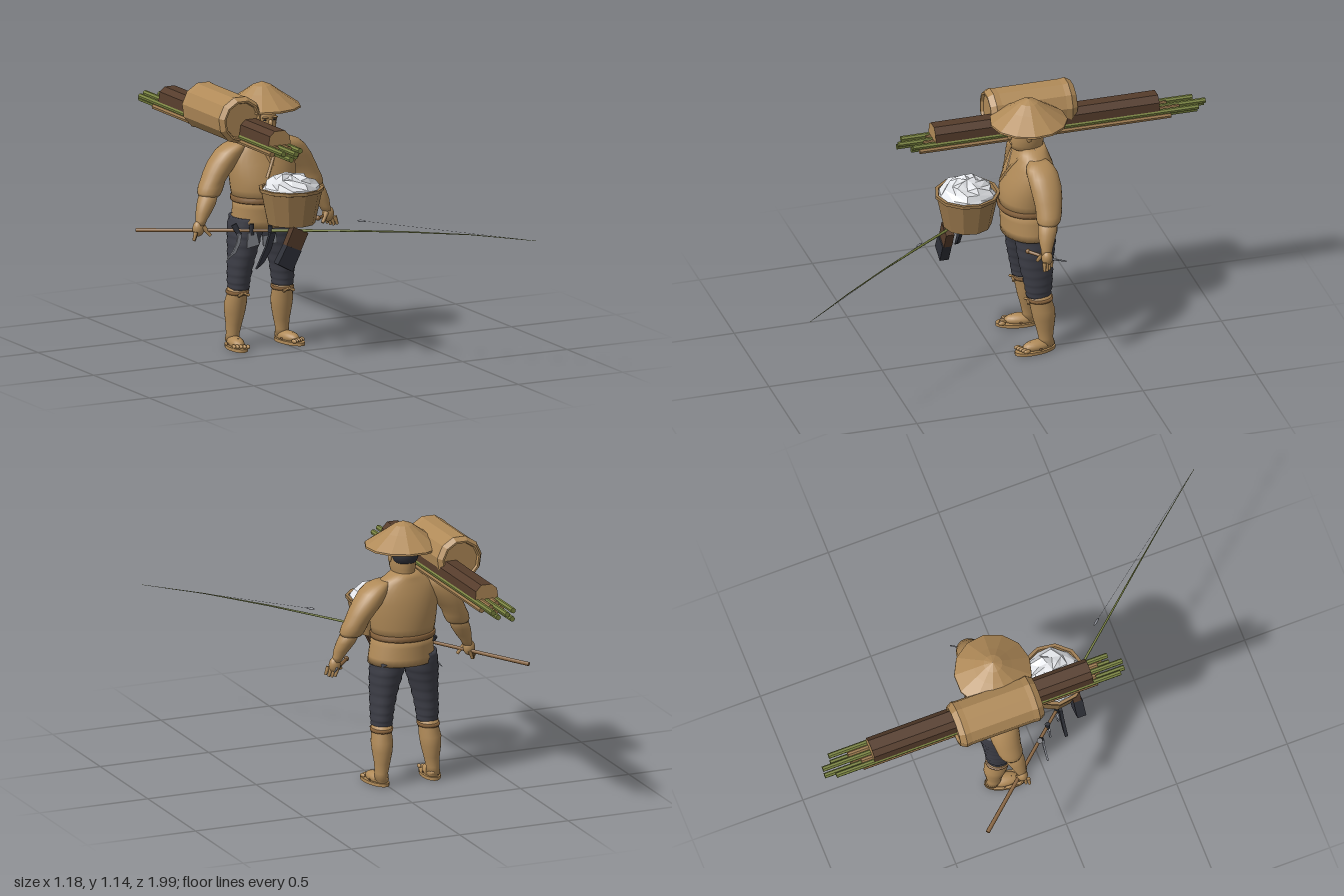
import * as THREE from 'three';

const mat = (name, color, side = THREE.FrontSide) => {
  const m = new THREE.MeshStandardMaterial({ color, side });
  m.name = name;
  return m;
};
const V = (x, y, z) => new THREE.Vector3(x, y, z);
const CX = -0.1; // body centre line

export function createModel() {
  const root = new THREE.Group();
  const tan = mat('tan', 0xb08a58);
  const wicker = mat('wicker', 0x9c7a4e);
  const wood = mat('wood', 0x86623c);
  const bark = mat('bark', 0x553c2b);
  const navy = mat('navy', 0x3c3d46);
  const dark = mat('dark', 0x2d2f37);
  const steel = mat('steel', 0x8b8e96);
  const white = mat('white', 0xe2e4e8);
  const green = mat('green', 0x7a8440);

  const add = (name, geo, material, parent = root) => {
    const m = new THREE.Mesh(geo, material);
    m.name = name;
    parent.add(m);
    return m;
  };
  const group = (name) => {
    const g = new THREE.Group();
    g.name = name;
    root.add(g);
    return g;
  };
  // faceted normals
  const flat = (geo) => {
    const g = geo.index ? geo.toNonIndexed() : geo;
    g.computeVertexNormals();
    return g;
  };
  const lathe = (pts, sides) => flat(new THREE.LatheGeometry(pts.map((p) => new THREE.Vector2(p[0], p[1])), sides));

  // smooth skin over horizontal rings [x, y, z, rx, rz], lowest first
  const loft = (rings, n = 24) => {
    const first = rings[0], last = rings[rings.length - 1];
    const all = [[first[0], first[1], first[2], 0.0005, 0.0005], ...rings, [last[0], last[1], last[2], 0.0005, 0.0005]];
    const pos = [], idx = [];
    all.forEach(([x, y, z, rx, rz], i) => {
      for (let j = 0; j < n; j++) {
        const a = (j / n) * Math.PI * 2;
        pos.push(x + rx * Math.cos(a), y, z + rz * Math.sin(a));
        if (i === all.length - 1) continue;
        const p = i * n + j, q = i * n + ((j + 1) % n);
        idx.push(p, p + n, q, q, p + n, q + n);
      }
    });
    const g = new THREE.BufferGeometry();
    g.setAttribute('position', new THREE.Float32BufferAttribute(pos, 3));
    g.setIndex(idx);
    g.computeVertexNormals();
    return g;
  };
  // tapered bar between two points
  const bar = (a, b, ra, rb, sides = 8) => {
    const d = b.clone().sub(a);
    const g = new THREE.CylinderGeometry(rb, ra, d.length(), sides);
    g.applyQuaternion(new THREE.Quaternion().setFromUnitVectors(V(0, 1, 0), d.normalize()));
    const c = a.clone().add(b).multiplyScalar(0.5);
    return g.translate(c.x, c.y, c.z);
  };
  const ball = (x, y, z, rx, ry, rz) => new THREE.SphereGeometry(1, 18, 12).scale(rx, ry, rz).translate(x, y, z);
  // flat plate from an outline in x, y
  const plate = (pts, z, depth = 0.008) => flat(new THREE.ExtrudeGeometry(
    new THREE.Shape(pts.map((p) => new THREE.Vector2(p[0], p[1]))), { depth, bevelEnabled: false }).translate(0, 0, z - depth / 2));

  // jacket
  const jacket = group('jacket');
  add('skirt', loft([[-0.09, 0.53, -0.176, 0.146, 0.12], [-0.092, 0.56, -0.176, 0.144, 0.119],
    [-0.095, 0.61, -0.172, 0.137, 0.117], [-0.1, 0.65, -0.17, 0.134, 0.118]], 32), tan, jacket);
  add('torso', loft([[CX, 0.645, -0.17, 0.133, 0.118], [CX, 0.69, -0.172, 0.142, 0.119],
    [CX, 0.74, -0.174, 0.148, 0.118], [CX, 0.8, -0.183, 0.152, 0.104], [CX, 0.85, -0.187, 0.145, 0.088],
    [CX, 0.885, -0.187, 0.125, 0.074], [CX, 0.905, -0.187, 0.085, 0.067], [CX, 0.925, -0.187, 0.057, 0.06]], 32), tan, jacket);
  add('belt', loft([[CX, 0.636, -0.171, 0.137, 0.121], [CX, 0.642, -0.171, 0.142, 0.126],
    [CX, 0.656, -0.171, 0.142, 0.126], [CX, 0.662, -0.171, 0.137, 0.121]], 32), wood, jacket);
  const collar = (pts) => new THREE.TubeGeometry(new THREE.CatmullRomCurve3(pts), 20, 0.007, 6);
  add('collarRight', collar([V(-0.155, 0.92, -0.19), V(-0.148, 0.895, -0.133), V(-0.12, 0.84, -0.1), V(-0.1, 0.79, -0.08)]), tan, jacket);
  add('collarLeft', collar([V(-0.045, 0.92, -0.19), V(-0.052, 0.895, -0.133), V(-0.09, 0.83, -0.094), V(-0.135, 0.75, -0.063)]), tan, jacket);

  // head
  const head = group('head');
  add('face', loft([[CX, 0.88, -0.19, 0.046, 0.055], [CX, 0.91, -0.182, 0.044, 0.06], [CX, 0.918, -0.172, 0.046, 0.068],
    [CX, 0.94, -0.17, 0.052, 0.073], [CX, 0.97, -0.172, 0.054, 0.073], [CX, 0.99, -0.173, 0.053, 0.07],
    [CX, 1.005, -0.172, 0.053, 0.075], [CX, 1.04, -0.175, 0.049, 0.066], [CX, 1.065, -0.178, 0.03, 0.04]]), tan, head);
  add('nose', ball(CX, 0.975, -0.098, 0.01, 0.018, 0.013), tan, head);
  add('mouth', ball(CX, 0.945, -0.1, 0.016, 0.005, 0.006), tan, head);
  add('hair', ball(CX, 1.003, -0.198, 0.058, 0.055, 0.058), dark, head);
  add('topKnot', ball(CX, 1.035, -0.22, 0.02, 0.02, 0.025), dark, head);
  for (const s of [-1, 1]) {
    add('ear', ball(CX + s * 0.056, 0.98, -0.165, 0.007, 0.018, 0.011), tan, head);
    add('brow', ball(CX + s * 0.022, 1.0, -0.104, 0.016, 0.005, 0.007), tan, head);
    add('eye', ball(CX + s * 0.022, 0.989, -0.109, 0.008, 0.003, 0.004), dark, head);
  }

  // straw hat, hollow underneath
  add('strawHat', lathe([[0.001, 1.125], [0.04, 1.112], [0.158, 1.033], [0.166, 1.034], [0.165, 1.042], [0.082, 1.098],
    [0.04, 1.128], [0.001, 1.143]], 13).translate(CX, 0, -0.178), tan);

  // arms and legs, mirrored about the centre line
  for (const s of [-1, 1]) {
    const X = (d) => CX + s * d;
    const arm = group(s > 0 ? 'leftArm' : 'rightArm');
    add('sleeve', loft([[X(0.246), 0.672, -0.19, 0.046, 0.046], [X(0.243), 0.685, -0.192, 0.052, 0.052],
      [X(0.234), 0.71, -0.196, 0.055, 0.055], [X(0.225), 0.73, -0.198, 0.053, 0.056], [X(0.205), 0.765, -0.2, 0.058, 0.062],
      [X(0.175), 0.81, -0.2, 0.065, 0.067], [X(0.145), 0.855, -0.195, 0.062, 0.067], [X(0.125), 0.88, -0.19, 0.05, 0.058],
      [X(0.105), 0.895, -0.19, 0.03, 0.04]]), tan, arm);
    add('forearm', loft([[X(0.303), 0.555, -0.165, 0.021, 0.023], [X(0.295), 0.575, -0.168, 0.024, 0.025],
      [X(0.282), 0.605, -0.172, 0.034, 0.033], [X(0.265), 0.64, -0.18, 0.041, 0.04], [X(0.245), 0.69, -0.19, 0.041, 0.042]]), tan, arm);
    add('palm', ball(X(0.31), 0.54, -0.165, 0.026, 0.034, 0.024), tan, arm);
    for (let i = 0; i < 4; i++) {
      const z = -0.185 + i * 0.013, k = X(0.305 + i * 0.009);
      add('finger', bar(V(k, 0.53, z), V(k + s * 0.012, 0.487 + Math.abs(i - 1.5) * 0.005, z + 0.002), 0.009, 0.006), tan, arm);
    }
    add('thumb', bar(V(X(0.295), 0.55, -0.15), V(X(0.268), 0.51, -0.135), 0.011, 0.007), tan, arm);

    const leg = group(s > 0 ? 'leftLeg' : 'rightLeg');
    const wrinkled = [[0.105, 0.255, -0.19, 0.043, 0.053], [0.105, 0.29, -0.19, 0.047, 0.059], [0.101, 0.34, -0.187, 0.051, 0.065],
      [0.094, 0.4, -0.183, 0.057, 0.074], [0.085, 0.46, -0.183, 0.067, 0.082], [0.077, 0.51, -0.185, 0.074, 0.088],
      [0.072, 0.57, -0.18, 0.073, 0.09]];
    const rings = [];
    for (let i = 0; i <= 24; i++) {
      const t = (i / 24) * 6, k = Math.min(5, Math.floor(t)), w = 0.002 * Math.sin(i * 2.1);
      const r = wrinkled[k].map((v, c) => THREE.MathUtils.lerp(v, wrinkled[k + 1][c], t - k));
      rings.push([X(r[0]), r[1], r[2], r[3] + w, r[4] + w]);
    }
    add('trouserLeg', loft(rings), navy, leg);
    add('shin', loft([[X(0.119), 0.025, -0.222, 0.029, 0.036], [X(0.118), 0.055, -0.218, 0.028, 0.031],
      [X(0.114), 0.1, -0.216, 0.034, 0.039], [X(0.112), 0.15, -0.212, 0.043, 0.049], [X(0.111), 0.19, -0.207, 0.047, 0.052],
      [X(0.108), 0.23, -0.197, 0.042, 0.05], [X(0.106), 0.262, -0.192, 0.044, 0.054]]), tan, leg);
    add('garter', loft([[X(0.108), 0.232, -0.196, 0.045, 0.053], [X(0.108), 0.238, -0.196, 0.048, 0.056],
      [X(0.107), 0.248, -0.195, 0.048, 0.056]]), wood, leg);
    for (const k of [-1, 1]) add('garterBow', bar(V(X(0.108), 0.242, -0.14), V(X(0.108) + k * 0.026, 0.233, -0.138), 0.004, 0.007, 6), tan, leg);
    const foot = new THREE.Group();
    foot.name = 'foot';
    foot.position.set(X(0.127), 0, -0.168);
    foot.rotation.y = s * 0.16;
    leg.add(foot);
    add('sandalSole', new THREE.CylinderGeometry(1, 1, 0.014, 20).scale(0.042, 1, 0.094).translate(0, 0.008, 0), tan, foot);
    add('instep', ball(0, 0.025, -0.012, 0.033, 0.026, 0.07), tan, foot);
    add('heel', ball(0, 0.03, -0.058, 0.028, 0.026, 0.03), tan, foot);
    for (let i = 0; i < 5; i++) {
      const off = (i - 2) * s;
      add('toe', ball(off * 0.014, 0.021, 0.07 - i * 0.005, 0.008, 0.009, 0.016), tan, foot);
    }
    for (const k of [-1, 1]) add('sandalStrap', bar(V(k * 0.034, 0.018, -0.015), V(0, 0.044, 0.025), 0.005, 0.005, 6), wood, foot);
  }

  // load on the shoulder: barrel, half log and bundled canes
  const load = group('shoulderLoad');
  add('barrel', lathe([[0, -0.178], [0.076, -0.178], [0.08, -0.19], [0.088, -0.19], [0.103, -0.165], [0.1, -0.14],
    [0.1, 0.14], [0.103, 0.165], [0.088, 0.19], [0.08, 0.19], [0.076, 0.178], [0, 0.178]], 11)
    .rotateX(Math.PI / 2).translate(-0.264, 1.014, -0.23), tan, load);
  const halfLog = [[-0.053, 0.95], [0.053, 0.95], [0.05, 0.99], [0.026, 1.016], [-0.022, 1.016], [-0.046, 0.996]];
  add('halfLog', plate(halfLog, -0.285, 0.99).translate(-0.222, 0, 0), [tan, bark], load);
  for (let row = 0; row < 2; row++) {
    for (let i = 0; i < 5; i++) {
      const isGreen = (i + row) % 2 === 1;
      const x = -0.268 + i * 0.023, y = 0.922 + row * 0.022;
      const z0 = (isGreen ? -0.93 : -0.83) - ((i * 3 + row) % 4) * 0.022;
      const z1 = (isGreen ? 0.31 : 0.23) + ((i * 2 + row) % 3) * 0.025;
      add(isGreen ? 'bambooCane' : 'woodCane', flat(bar(V(x, y, z0), V(x, y, z1), 0.012, 0.012, 7)), isGreen ? green : wicker, load);
    }
  }

  // basket heaped with white lumps
  const basket = group('basket');
  basket.position.set(-0.104, 0, 0.092);
  add('basketBody', lathe([[0, 0.583], [0.103, 0.583], [0.132, 0.722], [0.139, 0.724], [0.14, 0.738], [0.126, 0.738],
    [0.122, 0.715], [0, 0.71]], 11), wicker, basket);
  const heap = new THREE.SphereGeometry(1, 11, 5, 0, Math.PI * 2, 0, Math.PI / 2);
  const p = heap.attributes.position;
  for (let i = 0; i < p.count; i++) {
    const column = i % 12 === 11 ? 0 : i % 12, ring = Math.floor(i / 12);
    const bump = ring === 0 ? 1 : 1 + 0.13 * Math.sin(column * 2.9 + ring * 1.7);
    const r = ring === 5 ? 1 : bump;
    p.setXYZ(i, p.getX(i) * 0.125 * Math.min(r, 1.03), 0.72 + p.getY(i) * 0.074 * r, p.getZ(i) * 0.125 * Math.min(r, 1.03));
  }
  add('whiteHeap', flat(heap), white, basket);

  // fishing rod with line and float
  const rod = group('fishingRod');
  const pts = [V(-0.588, 0.507, -0.39), V(-0.2, 0.555, 0.068), V(0, 0.58, 0.303), V(0.2, 0.6, 0.538), V(0.4, 0.612, 0.773), V(0.588, 0.61, 0.998)];
  const radii = [0.009, 0.007, 0.005, 0.0035, 0.002, 0.0008];
  for (let i = 0; i < 5; i++) add(i ? 'rodSection' : 'rodHandle', bar(pts[i], pts[i + 1], radii[i], radii[i + 1]), i ? green : wood, rod);
  add('line', bar(pts[5], V(0.093, 0.624, 0.365), 0.0006, 0.0006, 4), steel, rod);
  add('float', ball(0, 0, 0, 0.005, 0.005, 0.02).rotateY(0.67).translate(0.09, 0.624, 0.363), steel, rod);

  // tools hanging from the rod
  const tools = group('hangingTools');
  add('sickleHandle', bar(V(-0.305, 0.57, -0.045), V(-0.285, 0.525, -0.03), 0.013, 0.011), dark, tools);
  add('sickleBlade', plate([[-0.297, 0.535], [-0.28, 0.53], [-0.284, 0.495], [-0.305, 0.455], [-0.35, 0.42],
    [-0.318, 0.462], [-0.3, 0.5]], -0.025), steel, tools);
  add('broadBlade', plate([[-0.27, 0.54], [-0.23, 0.545], [-0.215, 0.485], [-0.275, 0.475]], 0.015), steel, tools);
  add('chopperBlade', plate([[-0.23, 0.535], [-0.165, 0.54], [-0.16, 0.5], [-0.225, 0.49]], 0.07), steel, tools);
  add('hookBlade', plate([[-0.205, 0.55], [-0.178, 0.55], [-0.2, 0.48], [-0.235, 0.425], [-0.27, 0.4], [-0.245, 0.45], [-0.22, 0.5]], 0.09, 0.014), dark, tools);
  for (const [x, z] of [[-0.25, 0.012], [-0.195, 0.075]]) add('toolHandle', bar(V(x, 0.578, z), V(x, 0.53, z), 0.01, 0.01), dark, tools);
  add('sheathTop', plate([[-0.143, 0.588], [-0.074, 0.556], [-0.11, 0.482], [-0.178, 0.512]], 0.175, 0.036), bark, tools);
  add('sheathBottom', plate([[-0.178, 0.512], [-0.11, 0.482], [-0.153, 0.397], [-0.222, 0.435]], 0.178, 0.04), dark, tools);

  // small knife in the left hand
  const knife = group('knife');
  add('knifeHandle', bar(V(0.125, 0.54, -0.1), V(0.205, 0.53, -0.18), 0.008, 0.007), wood, knife);
  add('knifeGuard', ball(0.13, 0.54, -0.105, 0.011, 0.011, 0.011), wood, knife);
  add('knifeBlade', bar(V(0.205, 0.53, -0.18), V(0.245, 0.53, -0.24), 0.006, 0.003, 4), steel, knife);
  return root;
}
